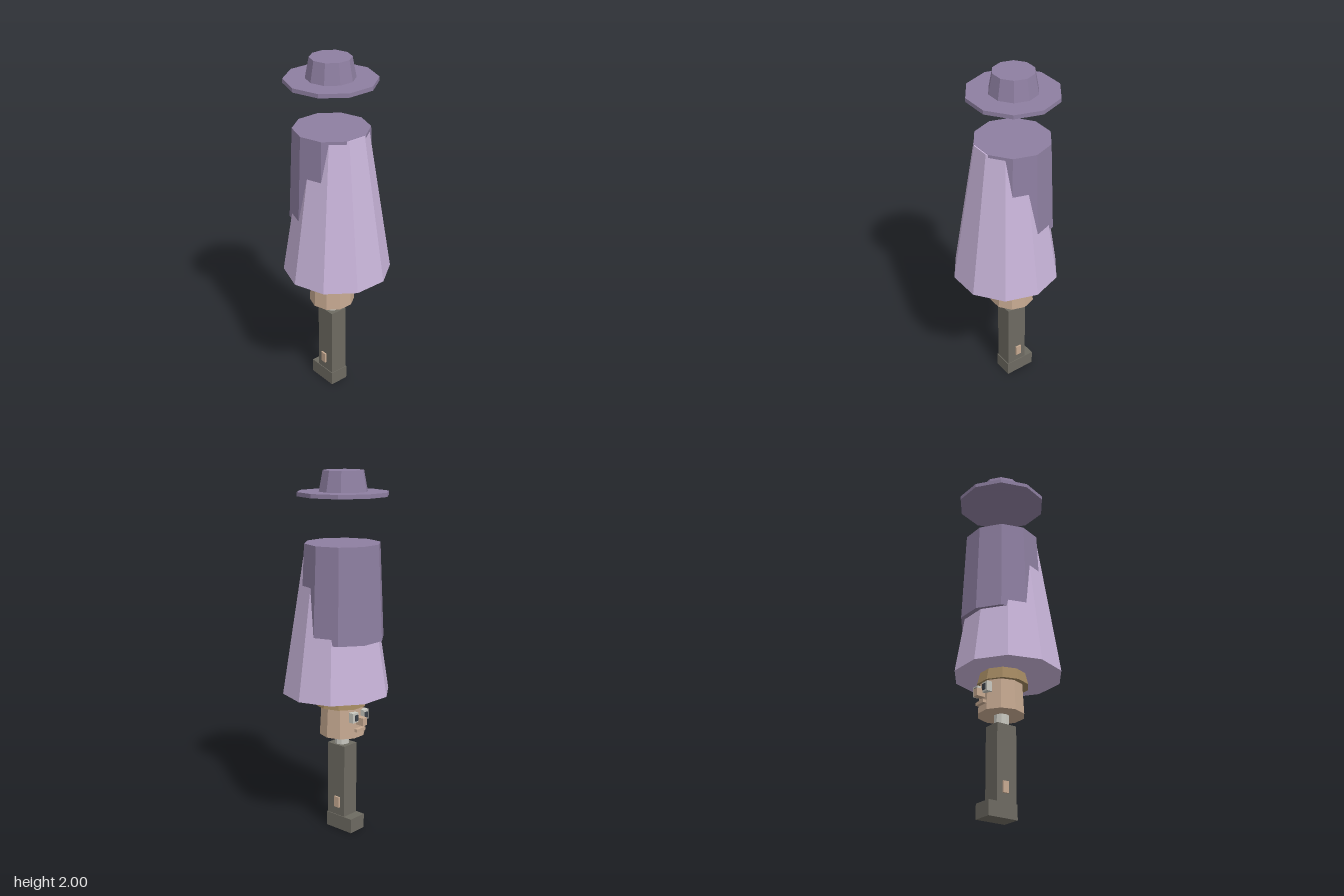
import * as THREE from 'three';

const material = (name, color) => {
  const m = new THREE.MeshStandardMaterial({ color, flatShading: true });
  m.name = name;
  return m;
};

export function createModel() {
  const model = new THREE.Group();
  model.name = 'figure';

  const lilac = material('lilac', 0xc8b4d9);
  const plum = material('plum', 0x8e7fa1);
  const skin = material('skin', 0xc6a991);
  const brown = material('brown', 0xa0865f);
  const grey = material('darkGrey', 0x6d6a61);
  const white = material('offWhite', 0xc9c8c0);
  const dark = material('darkPupil', 0x3a4048);

  const add = (name, geometry, mat, x, y, z) => {
    const mesh = new THREE.Mesh(geometry, mat);
    mesh.name = name;
    mesh.position.set(x, y, z);
    model.add(mesh);
    return mesh;
  };
  // Ten-sided frustum with corners on the x axis
  const frustum = (name, mat, rTop, rBottom, y0, y1, z) =>
    add(name, new THREE.CylinderGeometry(rTop, rBottom, y1 - y0, 10, 1, false, Math.PI / 2),
      mat, 0, (y0 + y1) / 2, z);
  // Box given by width, centre x, and its y and z ranges
  const box = (name, mat, w, x, y0, y1, z0, z1) =>
    add(name, new THREE.BoxGeometry(w, y1 - y0, z1 - z0), mat, x, (y0 + y1) / 2, (z0 + z1) / 2);

  // Floating hat
  frustum('hatBrim', plum, 0.248, 0.248, 1.868, 1.89, -0.048);
  frustum('hatCrown', plum, 0.111, 0.132, 1.89, 2.0, -0.05);

  // Robe, with a cape set back so that it emerges from the rear and sides
  frustum('robe', lilac, 0.168, 0.299, 0.793, 1.62, 0);
  frustum('cape', plum, 0.208, 0.231, 1.105, 1.621, -0.045);

  // Head, hair and neck
  frustum('hair', brown, 0.112, 0.143, 0.727, 0.85, -0.035);
  frustum('head', skin, 0.118, 0.128, 0.56, 0.73, -0.045);
  frustum('neck', white, 0.041, 0.041, 0.49, 0.57, -0.043);

  // Face, looking backwards
  for (const s of [-1, 1]) {
    box('eye', white, 0.042, s * 0.044, 0.655, 0.71, -0.182, -0.15);
    box('pupil', dark, 0.024, s * 0.04, 0.665, 0.698, -0.188, -0.18);
  }
  box('nose', skin, 0.034, 0, 0.635, 0.678, -0.212, -0.15);
  box('mouth', skin, 0.07, 0, 0.597, 0.614, -0.185, -0.15);

  // Legs and feet, with a small hand on each side
  box('legs', grey, 0.103, 0, 0.08, 0.5, -0.106, 0.016);
  box('feet', grey, 0.112, 0, 0, 0.082, -0.16, 0.02);
  for (const s of [-1, 1]) {
    box('hand', skin, 0.02, s * 0.051, 0.13, 0.192, -0.073, -0.038);
  }

  return model;
}
